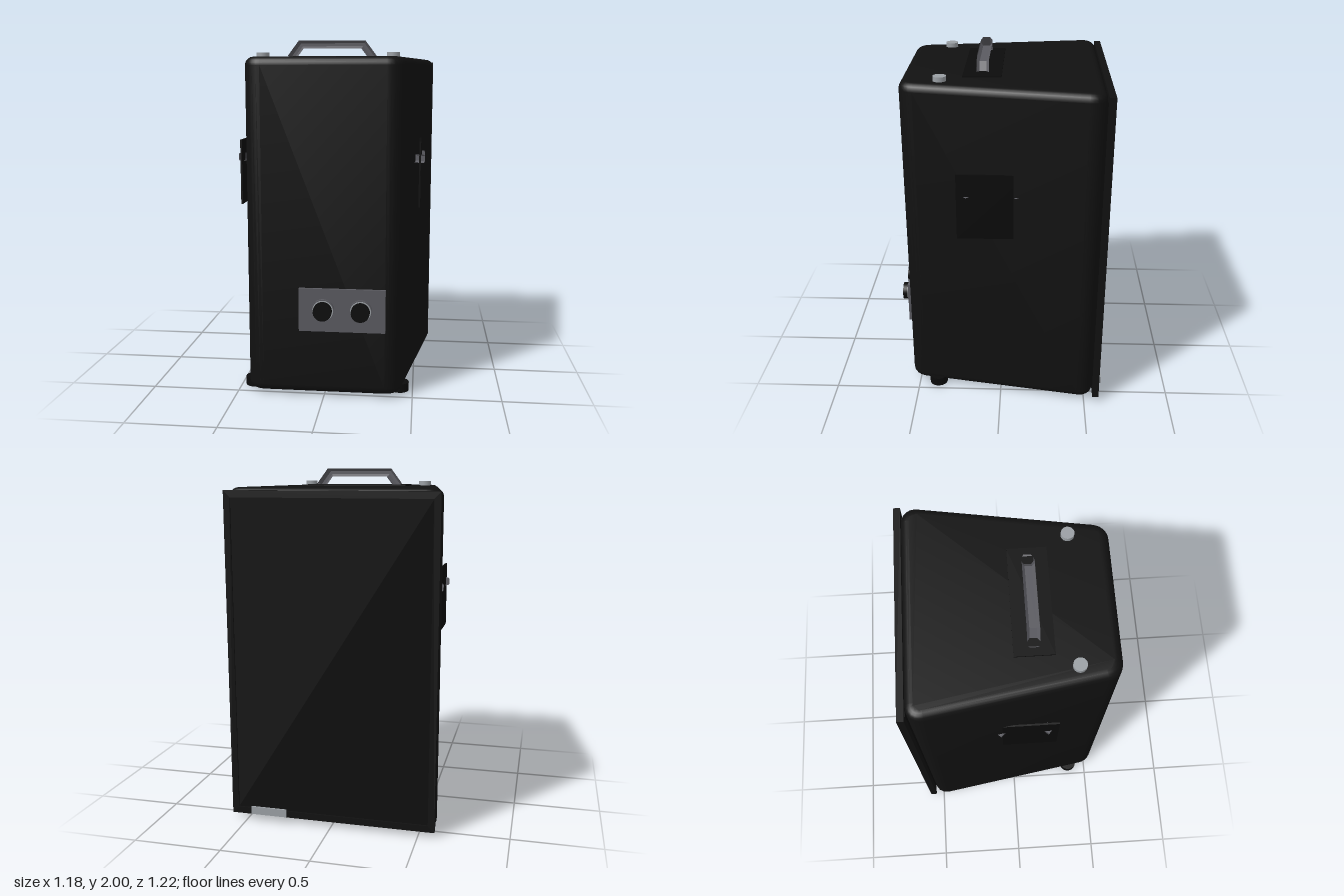
import * as THREE from 'three';
import { toCreasedNormals } from 'three/addons/utils/BufferGeometryUtils.js';

const mat = (name, color) => new THREE.MeshStandardMaterial({ name, color });

// Closed outline with softened corners
function roundedShape(pts, cut) {
  const shape = new THREE.Shape();
  const v = pts.map(p => new THREE.Vector2(...p));
  v.forEach((p, i) => {
    const prev = v[(i + v.length - 1) % v.length], next = v[(i + 1) % v.length];
    const a = p.clone().add(prev.clone().sub(p).setLength(cut));
    const b = p.clone().add(next.clone().sub(p).setLength(cut));
    if (i === 0) shape.moveTo(a.x, a.y); else shape.lineTo(a.x, a.y);
    shape.quadraticCurveTo(p.x, p.y, b.x, b.y);
  });
  shape.closePath();
  return shape;
}

// Chamfered bar swept with mitred corners along a path in the xy plane
function barGeometry(path, halfW, halfT, c) {
  const pts = path.map(p => new THREE.Vector2(...p));
  const section = [
    [halfW, -halfT + c], [halfW, halfT - c], [halfW - c, halfT], [-halfW + c, halfT],
    [-halfW, halfT - c], [-halfW, -halfT + c], [-halfW + c, -halfT], [halfW - c, -halfT],
  ];
  const n = section.length, pos = [], idx = [];
  const normal = (a, b) => { const d = b.clone().sub(a).normalize(); return new THREE.Vector2(-d.y, d.x); };
  pts.forEach((p, i) => {
    const n0 = normal(pts[Math.max(i - 1, 0)], pts[Math.max(i, 1)]);
    const last = pts.length - 1;
    const n1 = normal(pts[Math.min(i, last - 1)], pts[Math.min(i + 1, last)]);
    const m = n0.clone().add(n1).normalize();
    m.divideScalar(m.dot(n0));
    section.forEach(([w, t]) => pos.push(p.x + m.x * t, p.y + m.y * t, w));
  });
  for (let i = 0; i < pts.length - 1; i++) {
    for (let j = 0; j < n; j++) {
      const a = i * n + j, b = i * n + (j + 1) % n;
      idx.push(a, b, a + n, b, b + n, a + n);
    }
  }
  const e = (pts.length - 1) * n;
  for (let j = 1; j < n - 1; j++) idx.push(0, j + 1, j, e, e + j, e + j + 1);
  const g = new THREE.BufferGeometry();
  g.setAttribute('position', new THREE.Float32BufferAttribute(pos, 3));
  g.setIndex(idx);
  const flat = g.toNonIndexed();
  flat.computeVertexNormals();
  return flat;
}

export function createModel() {
  const model = new THREE.Group();
  model.name = 'loudspeaker';
  const shell = mat('cabinet black', 0x111111);
  const black = mat('deep black', 0x0b0b0b);
  const grey = mat('dark grey', 0x5a5a60);
  const metal = mat('light metal', 0x9a9fa4);

  const add = (name, geo, material, x = 0, y = 0, z = 0, parent = model) => {
    const m = new THREE.Mesh(geo, material);
    m.name = name;
    m.position.set(x, y, z);
    parent.add(m);
    return m;
  };
  const box = (w, h, d) => new THREE.BoxGeometry(w, h, d);
  const disc = (r, h) => new THREE.CylinderGeometry(r, r, h, 32);

  // Tapered cabinet with rounded edges
  const bevel = 0.045;
  const outline = roundedShape([[-0.386, -0.5], [0.386, -0.5], [0.55, 0.505], [-0.55, 0.505]], 0.045);
  const cabinet = new THREE.ExtrudeGeometry(outline, {
    depth: 1.88 - 2 * bevel, bevelEnabled: true, bevelSize: bevel, bevelThickness: bevel,
    bevelSegments: 5, curveSegments: 6,
  });
  cabinet.rotateX(-Math.PI / 2);
  add('cabinet', toCreasedNormals(cabinet, 0.6), shell, 0, 0.02 + bevel, 0);

  // Grille with a raised frame
  const rect = (path, w, h) => path.moveTo(-w, -h).lineTo(w, -h).lineTo(w, h).lineTo(-w, h).closePath();
  const frame = rect(new THREE.Shape(), 0.592, 0.928);
  frame.holes.push(rect(new THREE.Path(), 0.555, 0.89));
  add('grilleFrame', new THREE.ExtrudeGeometry(frame, { depth: 0.037, bevelEnabled: false }), shell, 0, 0.958, -0.587);
  add('grille', box(1.112, 1.782, 0.03), black, 0, 0.958, -0.563);
  add('badge', box(0.21, 0.045, 0.01), metal, 0.365, 0.063, -0.605);

  // Top carrying handle on its base plate
  add('topHandlePlate', box(0.6, 0.012, 0.21), black, 0, 1.902, 0.105);
  const topBar = barGeometry([[-0.24, 1.9], [-0.182, 1.977], [0.182, 1.977], [0.24, 1.9]], 0.033, 0.0225, 0.014);
  add('topHandle', topBar, grey, 0, 0, 0.105);

  // Recessed side handles behind their plates
  const sideBar = barGeometry([[-0.145, 0.533], [-0.08, 0.47], [0.08, 0.47], [0.145, 0.533]], 0.023, 0.0215, 0.008);
  sideBar.applyMatrix4(new THREE.Matrix4().makeBasis(
    new THREE.Vector3(0, 0, 1), new THREE.Vector3(1, 0, 0), new THREE.Vector3(0, 1, 0)));
  for (const side of [1, -1]) {
    const g = new THREE.Group();
    g.name = side > 0 ? 'leftSideHandle' : 'rightSideHandle';
    g.position.z = 0.05;
    g.rotation.y = side > 0 ? 0 : Math.PI;
    add('sidePlate', box(0.01, 0.38, 0.38), black, 0.52, 1.24, 0, g);
    add('sideGrip', sideBar, grey, 0, 1.325, 0, g);
    model.add(g);

    // Rigging caps on top and feet below
    add('riggingCap', disc(0.036, 0.03), metal, side * 0.365, 1.911, 0.325);
    for (const z of [0.385, -0.385]) add('foot', disc(0.053, 0.05), black, side * 0.425, 0.025, z);
  }

  // Control panel with two knobs
  add('controlPanel', box(0.483, 0.245, 0.03), grey, 0.105, 0.513, 0.546);
  for (const x of [0, 0.21]) {
    add('knobRing', disc(0.063, 0.016), grey, x, 0.515, 0.568).rotation.x = Math.PI / 2;
    add('knobCollar', disc(0.058, 0.004), metal, x, 0.515, 0.577).rotation.x = Math.PI / 2;
    add('knob', disc(0.052, 0.032), black, x, 0.515, 0.591).rotation.x = Math.PI / 2;
  }

  // Pole socket underneath
  add('poleSocketRing', disc(0.06, 0.008), grey, 0, 0.02, 0);
  add('poleSocketHole', disc(0.038, 0.008), black, 0, 0.018, 0);
  return model;
}
